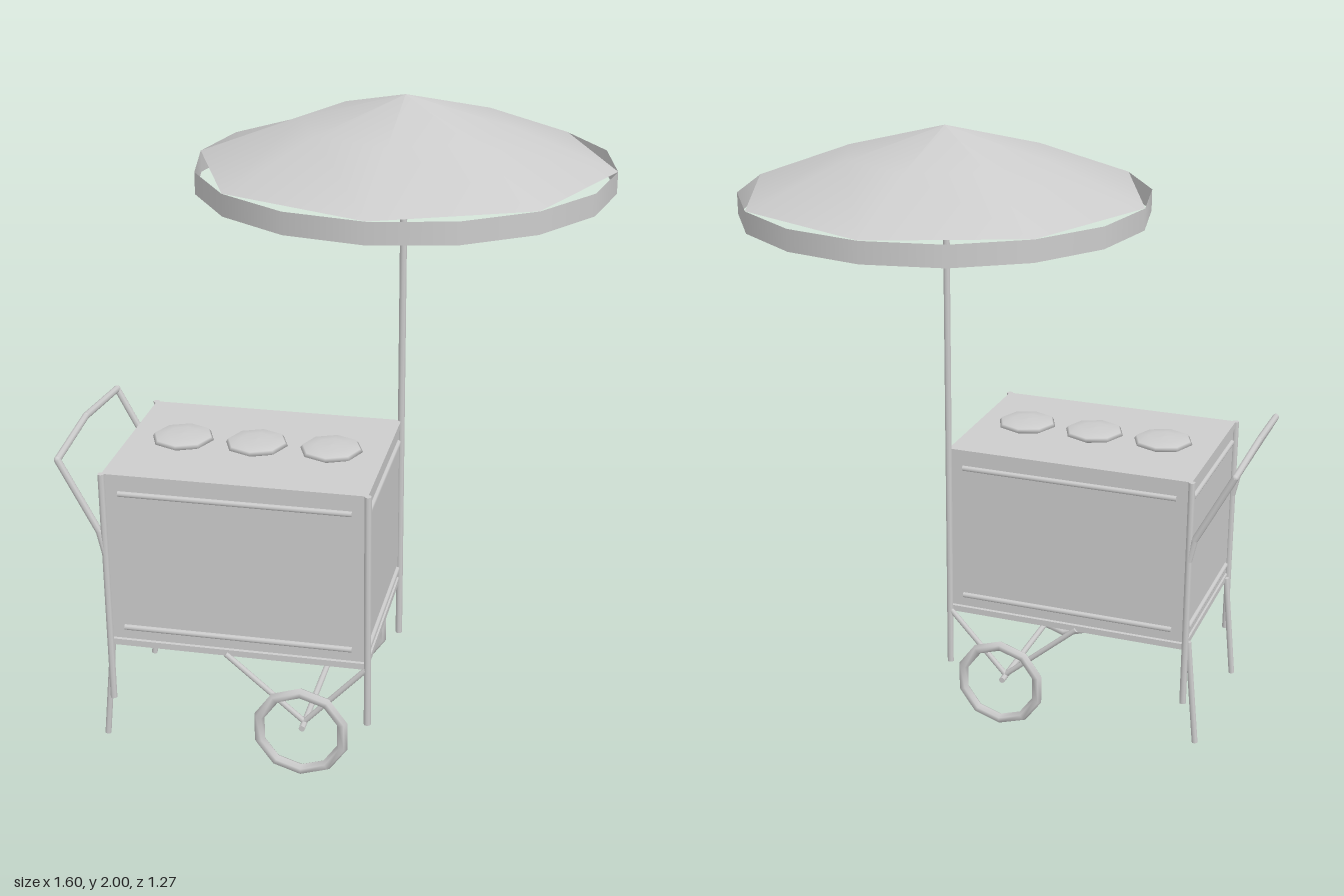
import * as THREE from 'three';

export function createModel() {
  const model = new THREE.Group();
  const grey = new THREE.MeshStandardMaterial({ color: 0xcccccc, side: THREE.DoubleSide });
  grey.name = 'plain grey';

  const add = (name, geometry, x = 0, y = 0, z = 0) => {
    const mesh = new THREE.Mesh(geometry, grey);
    mesh.name = name;
    mesh.position.set(x, y, z);
    model.add(mesh);
    return mesh;
  };
  const box = (name, x0, x1, y0, y1, z0, z1) =>
    add(name, new THREE.BoxGeometry(x1 - x0, y1 - y0, z1 - z0), (x0 + x1) / 2, (y0 + y1) / 2, (z0 + z1) / 2);
  // Round bar between two points
  const rod = (name, from, to, radius = 0.01) => {
    const a = new THREE.Vector3(...from), b = new THREE.Vector3(...to);
    const mesh = add(name, new THREE.CylinderGeometry(radius, radius, a.distanceTo(b), 8));
    mesh.position.copy(a).lerp(b, 0.5);
    mesh.quaternion.setFromUnitVectors(new THREE.Vector3(0, 1, 0), b.sub(a).normalize());
    return mesh;
  };
  const lathe = (points, sides) =>
    new THREE.LatheGeometry(points.map(p => new THREE.Vector2(...p)), sides);

  const left = -0.648, right = 0.163, back = 0, front = 0.572, midZ = 0.286;

  // Cabinet, lid and floor
  box('cabinet', left + 0.005, right - 0.005, 0.39, 0.925, back + 0.005, front - 0.005);
  box('lid', left, right, 0.925, 0.948, back, front);
  box('floor', left, right, 0.366, 0.386, back, front);

  // Octagonal hatch covers
  for (const x of [-0.475, -0.24, -0.005]) {
    add('hatchCover', lathe([[0.08, 0], [0.098, 0.009], [0.09, 0.019], [0.05, 0.024], [0, 0.026]], 8), x, 0.948, midZ);
  }

  // Trim bars near the top and bottom of all four sides
  for (const y of [0.885, 0.43]) {
    for (const z of [back + 0.003, front - 0.003]) rod('trimBar', [-0.6, y, z], [0.115, y, z], 0.009);
    for (const x of [left + 0.003, right - 0.003]) rod('trimBar', [x, y, 0.035], [x, y, 0.537], 0.009);
  }

  // Corner posts, splayed legs, wheel struts and wheels, once per side
  for (const [z, outward] of [[back, -1], [front, 1]]) {
    rod('cornerPost', [left, 0.175, z], [left, 0.948, z], 0.011);
    if (z === front) rod('cornerPost', [right, 0.175, z], [right, 0.948, z], 0.011);
    const legZ = z - outward * 0.033;
    rod('standLeg', [-0.65, 0.38, legZ], [-0.686, 0.018, legZ], 0.01);
    rod('wheelStrut', [-0.28, 0.372, z], [-0.035, 0.16, z], 0.009);
    rod('wheelStrut', [right, 0.372, z], [-0.035, 0.16, z], 0.009);
    const wheel = add('wheel', new THREE.TorusGeometry(0.136, 0.017, 6, 10), -0.035, 0.155, z + outward * 0.05);
    wheel.rotation.z = Math.PI / 2;
  }
  rod('axle', [-0.035, 0.155, -0.035], [-0.035, 0.155, 0.607], 0.01);

  // Push handle: two bent arms joined by a bowed grip
  const handle = [
    [-0.648, 0.68, back], [-0.664, 0.755, back], [-0.782, 0.982, back],
    [-0.79, 1.004, midZ],
    [-0.782, 0.982, front], [-0.664, 0.755, front], [-0.648, 0.68, front],
  ];
  for (let i = 1; i < handle.length; i++) rod('handle', handle[i - 1], handle[i], 0.011);
  for (const p of handle.slice(1, -1)) add('handleJoint', new THREE.SphereGeometry(0.011, 8, 6), ...p);

  // Parasol: pole, eight-panel canopy and a separate hanging band
  rod('parasolPole', [right, 0.175, back], [right, 1.985, back], 0.011);
  add('canopy', lathe([[0.636, 1.797], [0.32, 1.917], [0, 2]], 8), 0.165, 0, 0);
  add('canopyBand', new THREE.CylinderGeometry(0.636, 0.636, 0.067, 16, 1, true), 0.165, 1.763, 0);

  return model;
}
